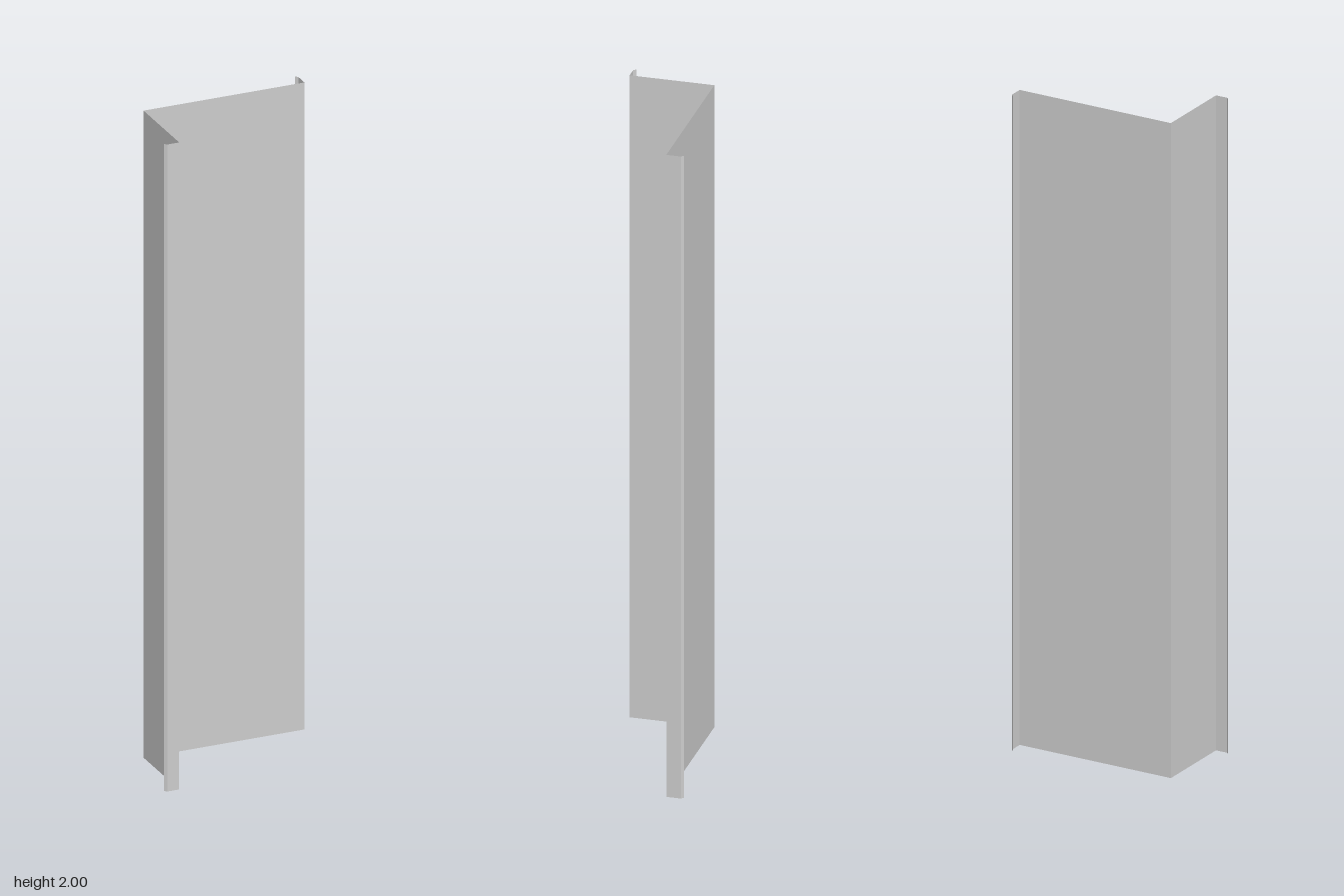
import * as THREE from 'three';

const HEIGHT = 2;

// A flat vertical strip of thin sheet between two plan points [x, z]
function strip(name, [x0, z0], [x1, z1], material) {
  const length = Math.hypot(x1 - x0, z1 - z0);
  const mesh = new THREE.Mesh(new THREE.PlaneGeometry(length, HEIGHT), material);
  mesh.name = name;
  mesh.position.set((x0 + x1) / 2, HEIGHT / 2, (z0 + z1) / 2);
  mesh.rotation.y = -Math.atan2(z1 - z0, x1 - x0);
  return mesh;
}

export function createModel() {
  const group = new THREE.Group();
  group.name = 'foldedSheetProfile';
  const material = new THREE.MeshStandardMaterial({ color: 0xcccccc, side: THREE.DoubleSide });

  // Folded section seen from above, from one hemmed edge to the other
  const section = [
    [0.265, -0.15], [0.272, -0.143], [0.272, -0.10],
    [-0.228, -0.10],
    [-0.228, 0.15], [-0.265, 0.15], [-0.272, 0.143],
  ];
  const names = ['panelLipHem', 'panelLip', 'mainPanel', 'sideWeb', 'frontFlange', 'flangeHem'];
  names.forEach((name, i) => group.add(strip(name, section[i], section[i + 1], material)));
  return group;
}
